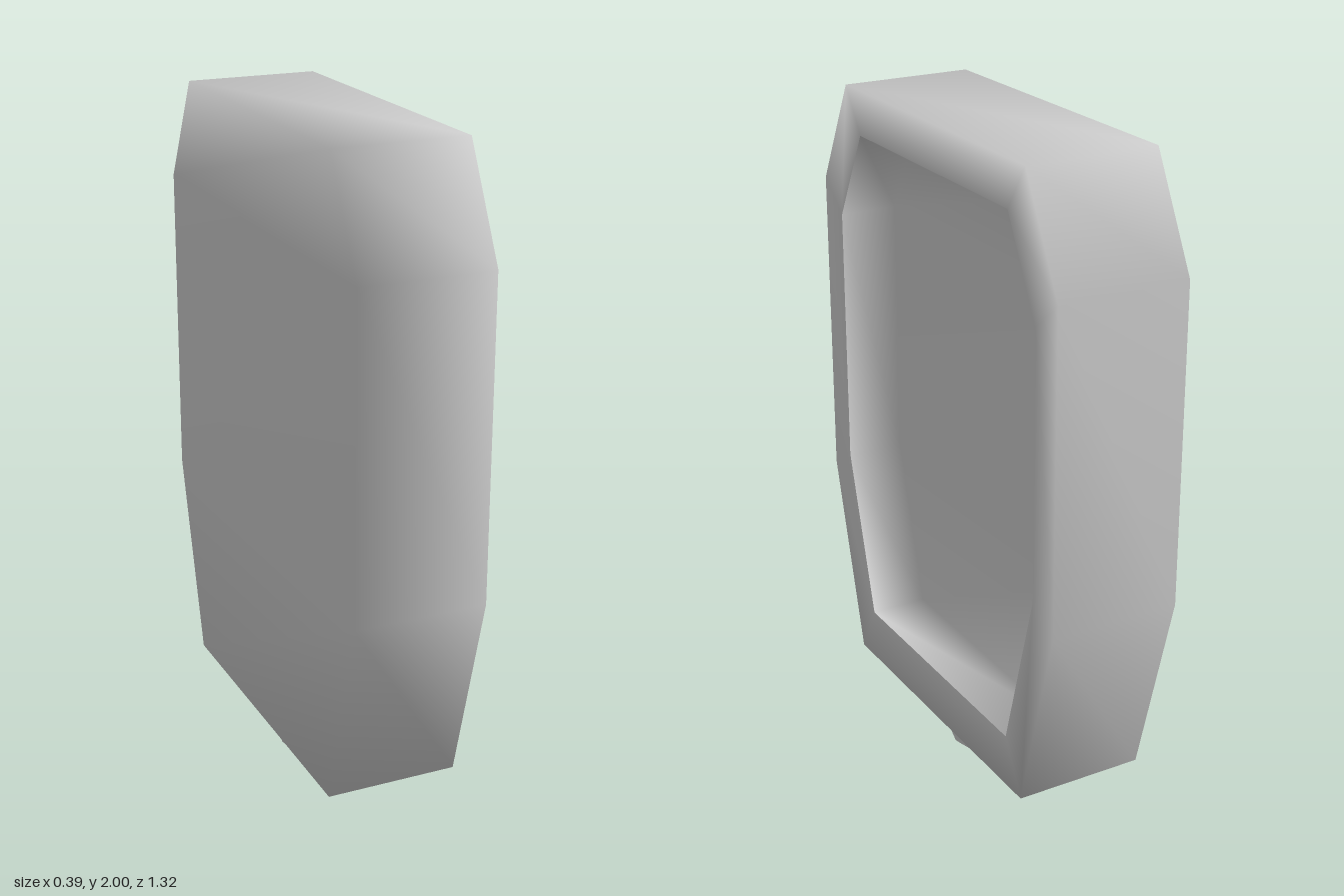
import * as THREE from 'three';

const material = new THREE.MeshStandardMaterial({ color: 0xcccccc, side: THREE.DoubleSide });

// Half outlines as [z, y], from the top down
const OUTER = [[0.5, 2], [0.66, 1.69], [0.66, 0.755], [0.5, 0.16]];
const INNER = [[0.415, 1.87], [0.555, 1.6], [0.555, 0.82], [0.415, 0.32]];

// Mirrored eight-cornered ring in the plane x, counter-clockwise seen from +x
function ring(half, x) {
  const left = half.map(([z, y]) => [x, y, z]);
  const right = half.map(([z, y]) => [x, y, -z]).reverse();
  return [...left, ...right];
}

// Smooth skin through successive rings, closed by a cap at the first or last ring
function skin(name, rings, capFirst) {
  const index = [];
  const quad = (a, b, c, d) => index.push(a, b, c, a, c, d);
  for (let r = 0; r + 1 < rings.length; r++) {
    for (let i = 0; i < 8; i++) {
      const a = r * 8 + i, b = r * 8 + (i + 1) % 8;
      quad(a, b, b + 8, a + 8);
    }
  }
  // The cap is three horizontal strips
  const o = capFirst ? 0 : (rings.length - 1) * 8;
  for (let i = 0; i < 3; i++) {
    const q = [7 - i, i, i + 1, 6 - i].map((k) => k + o);
    quad(...(capFirst ? q.reverse() : q));
  }
  const geometry = new THREE.BufferGeometry();
  geometry.setAttribute('position', new THREE.Float32BufferAttribute(rings.flat(2), 3));
  geometry.setIndex(index);
  geometry.computeVertexNormals();
  const mesh = new THREE.Mesh(geometry, material);
  mesh.name = name;
  return mesh;
}

function lathe(name, profile, segments) {
  const points = profile.map(([r, y]) => new THREE.Vector2(r, y));
  const mesh = new THREE.Mesh(new THREE.LatheGeometry(points, segments), material);
  mesh.name = name;
  return mesh;
}

export function createModel() {
  const model = new THREE.Group();
  model.name = 'basin';

  // Outer casing with flat back and front rim
  model.add(skin('casing', [ring(OUTER, -0.197), ring(OUTER, 0.195), ring(INNER, 0.195)], true));

  // Recessed bowl behind the rim
  model.add(skin('bowl', [ring(INNER, 0.195), ring(INNER, 0.02)], false));

  // Drain fitting underneath
  const drain = new THREE.Group();
  drain.name = 'drain';
  drain.add(lathe('drainCollar', [[0, 0.13], [0.15, 0.13], [0.155, 0.135], [0.155, 0.16], [0, 0.16]], 12));
  drain.add(lathe('drainCap', [[0, 0], [0.055, 0.008], [0.105, 0.028], [0.13, 0.052], [0.13, 0.132]], 12));
  model.add(drain);

  return model;
}
